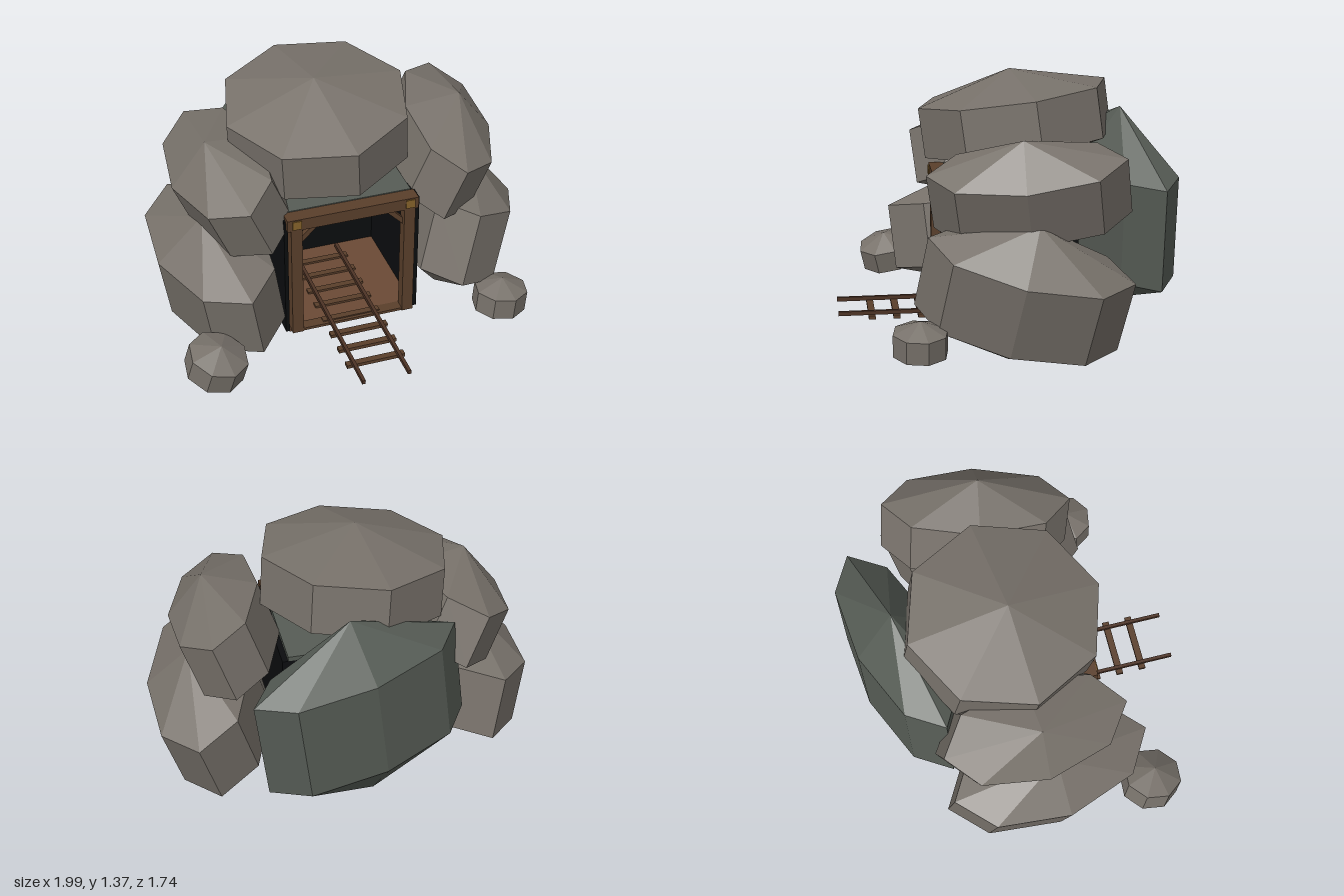
import * as THREE from 'three';

const mat = (color) => new THREE.MeshStandardMaterial({ color, flatShading: true });
const stone = mat(0x77716a), mossStone = mat(0x565c55), dark = mat(0x0b0d0f);
const plank = mat(0x6b4a35), timber = mat(0x5a3f2b), railWood = mat(0x4d3325), brass = mat(0x85622a);

// Eight-sided boulder: axis runs from the centre to the upper tip, a and b are the ring radii
function boulder(name, center, axis, a, b, yaw, material = stone) {
  const tip = new THREE.Vector3(...axis);
  const mesh = new THREE.Mesh(new THREE.SphereGeometry(1, 8, 3), material);
  const ring = Math.sin(Math.PI / 3);
  mesh.name = name;
  mesh.scale.set(a / ring, tip.length(), b / ring);
  const up = new THREE.Vector3(0, 1, 0);
  mesh.quaternion.setFromUnitVectors(up, tip.clone().normalize())
    .multiply(new THREE.Quaternion().setFromAxisAngle(up, yaw));
  mesh.position.set(...center);
  return mesh;
}

// Box given by its minimum and maximum corners
function block(name, min, max, material) {
  const size = max.map((v, i) => v - min[i]);
  const mesh = new THREE.Mesh(new THREE.BoxGeometry(...size), material);
  mesh.name = name;
  mesh.position.set(...max.map((v, i) => (v + min[i]) / 2));
  return mesh;
}

export function createModel() {
  const model = new THREE.Group();
  model.name = 'mineEntrance';

  // Boulders piled around the tunnel
  const rocks = new THREE.Group();
  rocks.name = 'boulders';
  rocks.add(
    boulder('topBoulder', [-0.085, 1.11, -0.09], [-0.02, 0.26, 0.033], 0.49, 0.51, 0.12),
    boulder('leftUpperBoulder', [0.583, 0.865, -0.07], [0.1, 0.29, 0.045], 0.245, 0.495, -0.15),
    boulder('leftLowerBoulder', [0.67, 0.377, -0.03], [0.11, 0.375, -0.065], 0.285, 0.52, -0.2),
    boulder('rightUpperBoulder', [-0.58, 0.845, -0.06], [-0.115, 0.275, 0.03], 0.26, 0.485, 0.08),
    boulder('rightLowerBoulder', [-0.685, 0.372, 0.005], [-0.06, 0.35, 0.035], 0.285, 0.545, 0.15),
    boulder('backBoulder', [-0.01, 0.64, -0.62], [0.065, 0.545, 0], 0.565, 0.215, 0.26, mossStone),
    boulder('leftSmallRock', [0.75, 0.175, 0.49], [0.01, 0.115, 0], 0.145, 0.14, 0.2),
    boulder('rightSmallRock', [-0.83, 0.185, 0.555], [0.025, 0.115, 0.025], 0.155, 0.16, 0.3),
  );
  model.add(rocks);

  // Dark tunnel with a wooden floor and a stone roof
  const tunnel = new THREE.Group();
  tunnel.name = 'tunnel';
  tunnel.add(
    block('rightWall', [-0.39, 0.09, -0.36], [-0.37, 0.79, 0.32], dark),
    block('leftWall', [0.32, 0.09, -0.36], [0.34, 0.79, 0.32], dark),
    block('backWall', [-0.37, 0.09, -0.36], [0.32, 0.79, -0.34], dark),
    block('ceiling', [-0.37, 0.77, -0.34], [0.32, 0.79, 0.3], dark),
    block('roofSlab', [-0.37, 0.79, -0.36], [0.31, 0.815, 0.27], mossStone),
    block('floor', [-0.37, 0.085, -0.355], [0.32, 0.1, 0.32], plank),
  );
  model.add(tunnel);

  // Timber door frame
  const frame = new THREE.Group();
  frame.name = 'timberFrame';
  frame.add(
    block('lintel', [-0.38, 0.745, 0.27], [0.325, 0.81, 0.35], timber),
    block('sill', [-0.3, 0.09, 0.28], [0.25, 0.105, 0.34], timber),
  );
  for (const side of [-1, 1]) {
    const x = -0.025 + side * 0.305;
    frame.add(
      block('post', [x - 0.03, 0.09, 0.285], [x + 0.03, 0.75, 0.345], timber),
      block('cornerPlate', [x - 0.024, 0.755, 0.34], [x + 0.024, 0.803, 0.356], brass),
    );
    const brace = block('brace', [-0.013, -0.075, -0.015], [0.013, 0.075, 0.015], timber);
    brace.position.set(x - side * 0.07, 0.7, 0.305);
    brace.rotation.z = side * Math.PI / 4;
    frame.add(brace);
  }
  model.add(frame);

  // Rail track running out of the tunnel
  const track = new THREE.Group();
  track.name = 'track';
  for (const x of [-0.15, 0.095])
    track.add(block('rail', [x - 0.009, 0.11, -0.3], [x + 0.009, 0.132, 0.87], railWood));
  for (let i = 0; i < 8; i++) {
    const z = 0.695 - i * 0.13;
    track.add(block('sleeper', [-0.185, 0.093, z - 0.018], [0.13, 0.112, z + 0.018], timber));
  }
  model.add(track);

  return model;
}
